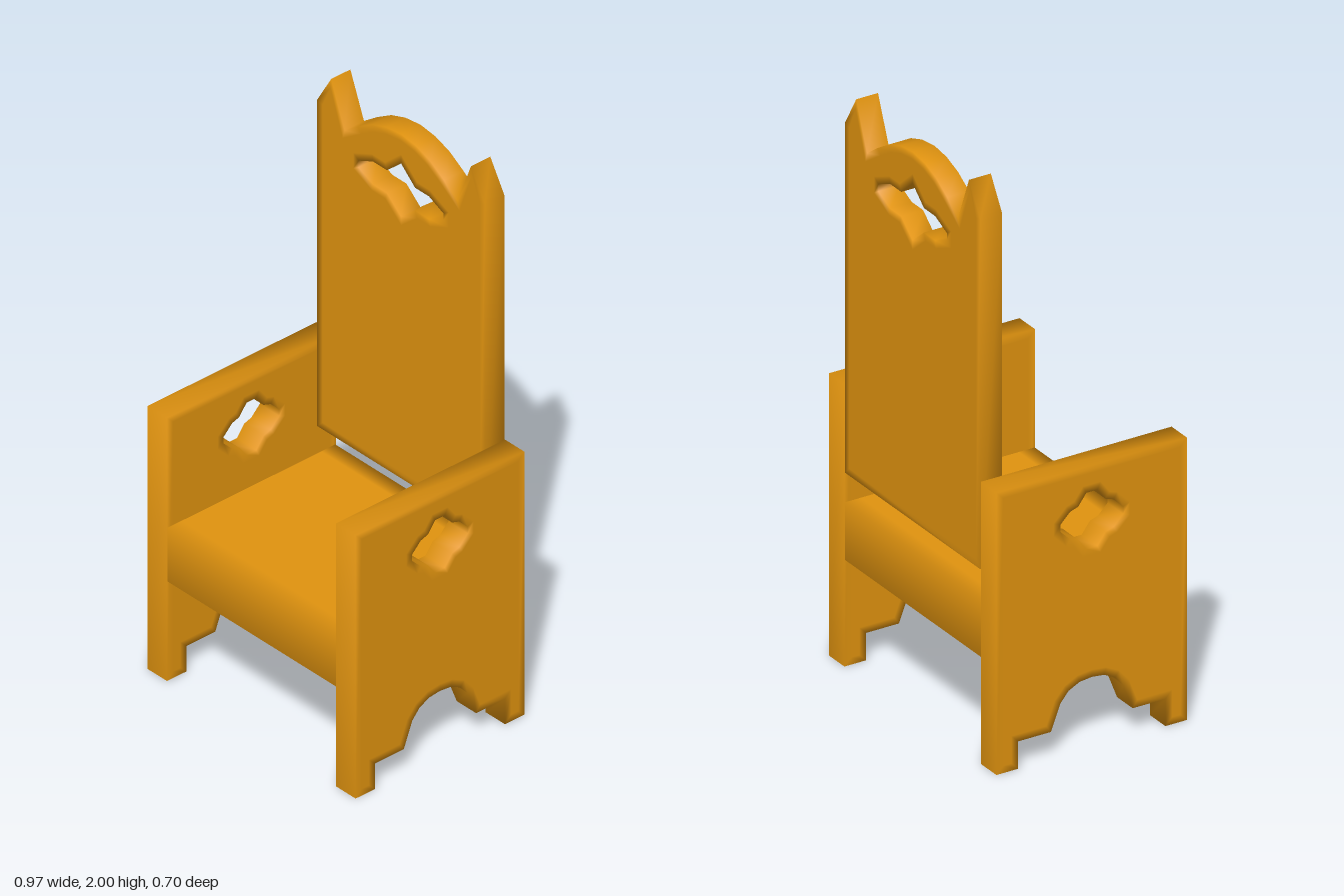
import * as THREE from 'three';
import { mergeVertices } from 'three/addons/utils/BufferGeometryUtils.js';

const wood = new THREE.MeshStandardMaterial({ color: 0xe0930f, roughness: 0.8 });

// Mirrors a half outline (running bottom to top on the + side) into a closed loop
const mirrored = (half) => {
  const other = half.filter(([x]) => x !== 0).reverse().map(([x, y]) => [-x, y]);
  return [...half, ...other].map(([x, y]) => new THREE.Vector2(x, y));
};

// Shares vertices so edges shade softly
const soften = (geo) => {
  geo.deleteAttribute('normal');
  geo.deleteAttribute('uv');
  const g = mergeVertices(geo, 1e-4);
  g.computeVertexNormals();
  return g;
};

// Flat board with a cut-out; the zero-height bevel adds an inset loop round each face
const board = (outline, hole, depth) => {
  const shape = new THREE.Shape(outline);
  shape.holes.push(new THREE.Path(hole));
  const inset = 0.025;
  return soften(new THREE.ExtrudeGeometry(shape, {
    depth, bevelEnabled: true, bevelThickness: 0, bevelSize: inset, bevelOffset: -inset, bevelSegments: 1,
  }));
};

const addMesh = (group, name, geo) => {
  const mesh = new THREE.Mesh(geo, wood);
  mesh.name = name;
  group.add(mesh);
  return mesh;
};

export function createModel() {
  const chair = new THREE.Group();
  chair.name = 'chair';

  // Side panels: feet, arched underside and cut-out
  const sideOutline = mirrored([
    [0, 0.245], [0.045, 0.24], [0.085, 0.22], [0.115, 0.185], [0.15, 0.095], [0.27, 0.095],
    [0.27, 0], [0.35, 0], [0.35, 0.98],
  ]);
  const sideHole = mirrored([
    [0.02, 0.695], [0.05, 0.735], [0.08, 0.745], [0.115, 0.78],
    [0.115, 0.805], [0.08, 0.84], [0.05, 0.85], [0.02, 0.89],
  ]);
  const side = board(sideOutline, sideHole, 0.09);
  side.rotateY(Math.PI / 2);
  addMesh(chair, 'leftSidePanel', side).position.x = 0.393;
  addMesh(chair, 'rightSidePanel', side).position.x = -0.483;

  // Backrest: pointed corner posts, arched top and cut-out
  const backOutline = mirrored([
    [0.39, 0.675], [0.39, 1.89], [0.325, 2], [0.262, 1.84],
    [0.2, 1.885], [0.135, 1.925], [0.07, 1.948], [0, 1.957],
  ]);
  const backHole = mirrored([
    [0, 1.65], [0.065, 1.705], [0.13, 1.705], [0.197, 1.735],
    [0.197, 1.76], [0.13, 1.79], [0.065, 1.79], [0, 1.848],
  ]);
  addMesh(chair, 'backrest', board(backOutline, backHole, 0.08)).position.z = -0.35;

  // Seat slab, its ends housed in the side panels
  const seatOutline = mirrored([[0.29, 0.37], [0.348, 0.37], [0.348, 0.57], [0.29, 0.57]]);
  const seat = new THREE.ExtrudeGeometry(new THREE.Shape(seatOutline), {
    depth: 0.88, steps: 20, bevelEnabled: false,
  });
  seat.rotateY(Math.PI / 2);
  addMesh(chair, 'seat', soften(seat)).position.x = -0.44;

  return chair;
}
